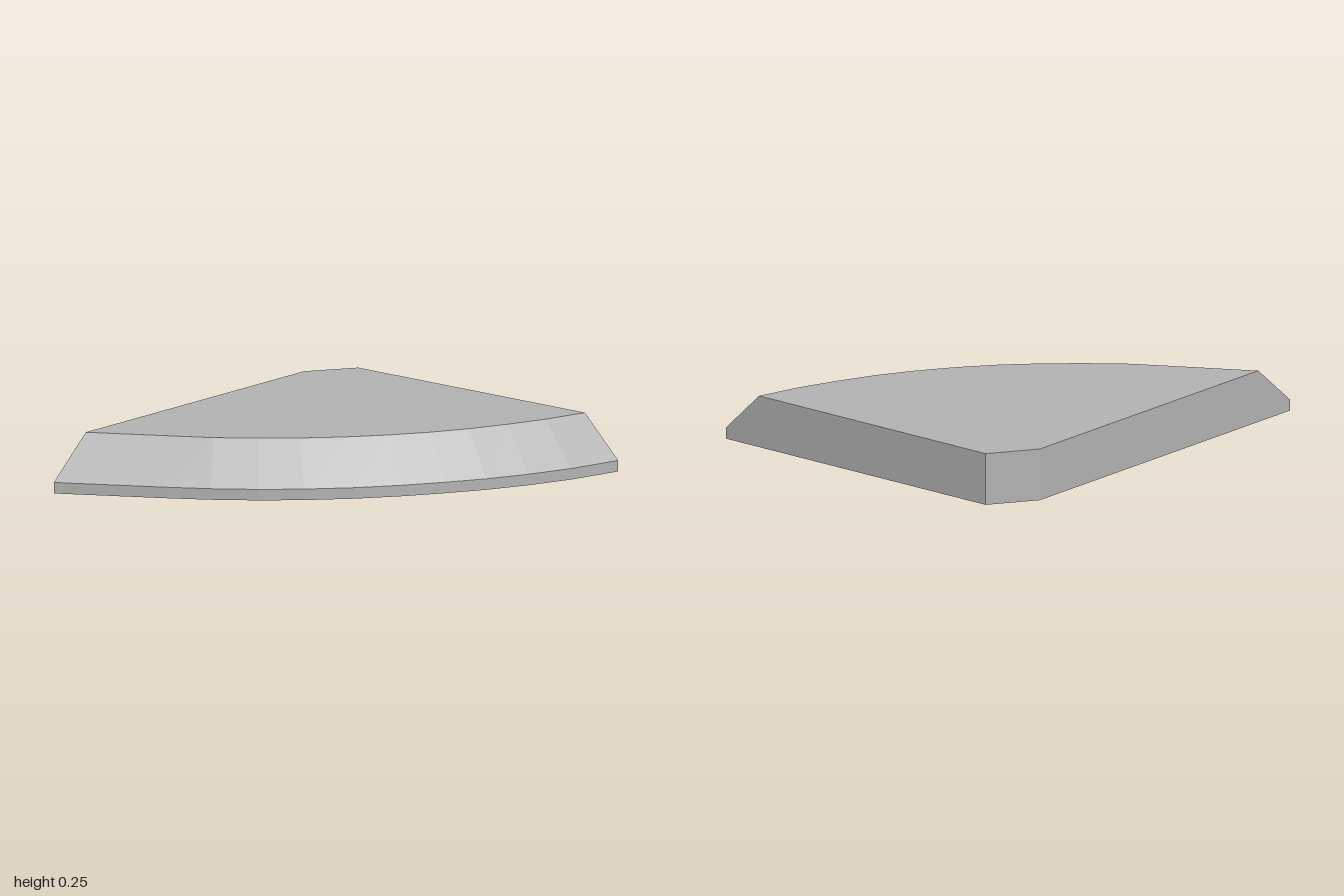
import * as THREE from 'three';

// Curved edge of the foot and of the top face, as [x, z] from back right to front left
const outerArc = [[0.853, -1], [0.79, -0.74], [0.71, -0.525], [0.62, -0.335], [0.52, -0.165], [0.405, 0.01],
  [0.267, 0.19], [0.107, 0.36], [-0.05, 0.5], [-0.225, 0.63], [-0.413, 0.747], [-0.855, 1]];
const innerArc = [[0.653, -1], [0.597, -0.785], [0.528, -0.6], [0.447, -0.415], [0.352, -0.245], [0.24, -0.08],
  [0.114, 0.075], [-0.03, 0.222], [-0.177, 0.35], [-0.336, 0.472], [-0.5, 0.568], [-0.855, 0.772]];
// Clipped back corner shared by every level
const corner = [[-0.855, -0.785], [-0.71, -1]];

const ring = (arc, y) => [...arc, ...corner].map(([x, z]) => [x, y, z]);

// Walls between two matching rings
function walls(low, high) {
  const pos = [];
  low.forEach((a, i) => {
    const j = (i + 1) % low.length;
    pos.push(...a, ...high[i], ...low[j], ...high[i], ...high[j], ...low[j]);
  });
  return pos;
}

// Flat cap fanned from the back corner
function cap(points, up) {
  const pos = [], hub = points[points.length - 1];
  for (let i = 0; i < points.length - 2; i++) {
    const a = points[i], b = points[i + 1];
    pos.push(...hub, ...(up ? b : a), ...(up ? a : b));
  }
  return pos;
}

export function createModel() {
  const group = new THREE.Group();
  const stone = new THREE.MeshStandardMaterial({ color: 0xb2b2b2 });
  stone.name = 'grey';

  const add = (name, positions) => {
    const geometry = new THREE.BufferGeometry();
    geometry.setAttribute('position', new THREE.Float32BufferAttribute(positions, 3));
    geometry.computeVertexNormals();
    const mesh = new THREE.Mesh(geometry, stone);
    mesh.name = name;
    group.add(mesh);
  };

  const foot = ring(outerArc, 0);
  const lip = ring(outerArc, 0.052);
  const top = ring(innerArc, 0.247);

  // Thin upright lip with the underside
  add('baseLip', [...walls(foot, lip), ...cap(foot, false)]);
  // Sloping curved edge, straight walls and flat top
  add('bevelledSlab', [...walls(lip, top), ...cap(top, true)]);

  return group;
}
